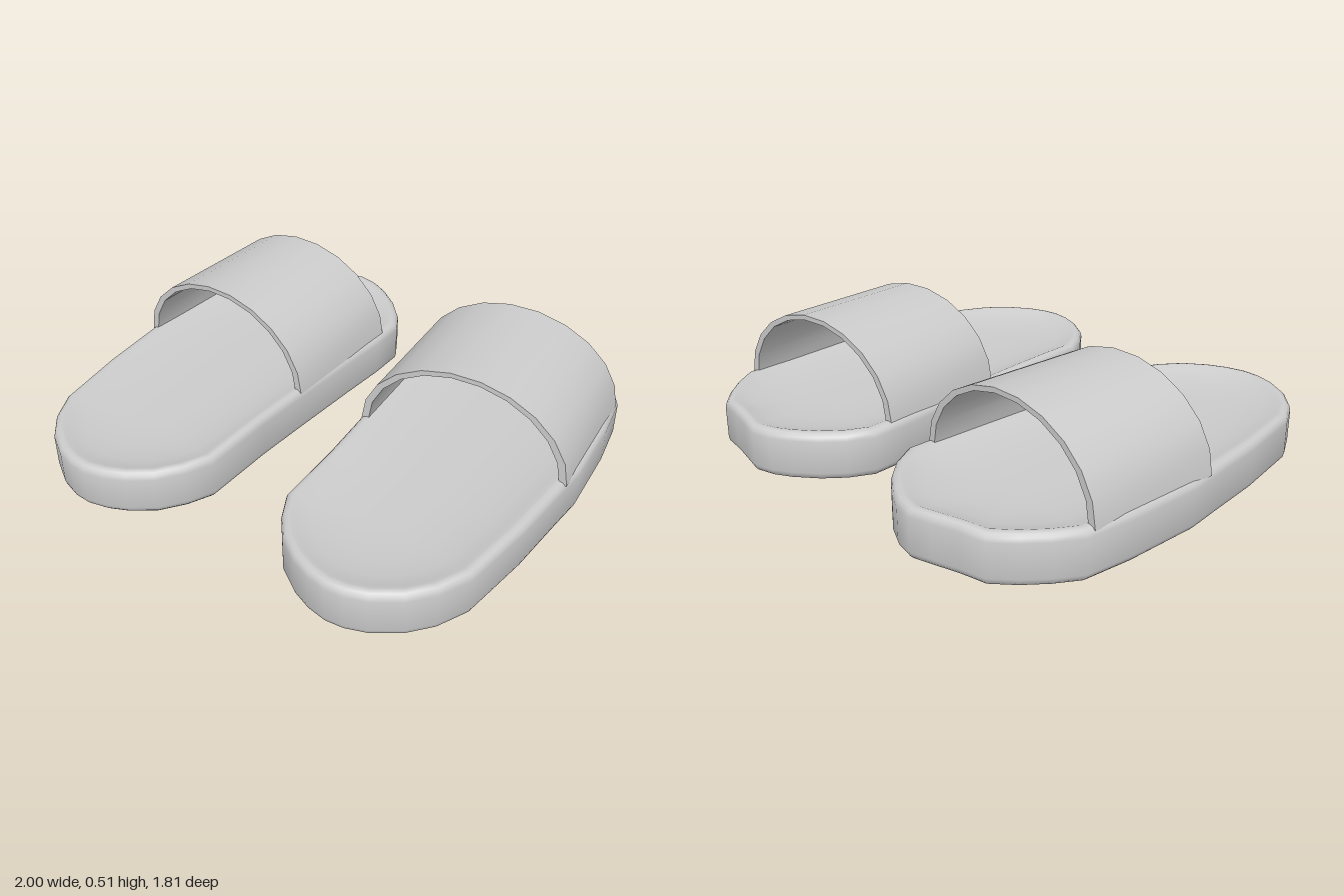
import * as THREE from 'three';
import { toCreasedNormals } from 'three/addons/utils/BufferGeometryUtils.js';

const material = new THREE.MeshStandardMaterial({ color: 0xcccccc });

// Plan outline of the left sole (x, z): heel, outer side, toe, inner side
const OUTLINE = [
  [0.45, -0.903], [0.54, -0.88], [0.64, -0.855], [0.74, -0.838], [0.82, -0.77],
  [0.89, -0.69], [0.95, -0.6], [0.98, -0.4], [1, -0.1], [0.987, 0.05],
  [0.968, 0.3], [0.924, 0.6], [0.865, 0.72], [0.79, 0.805], [0.69, 0.87],
  [0.61, 0.897], [0.54, 0.903], [0.46, 0.887], [0.38, 0.853], [0.29, 0.79],
  [0.22, 0.7], [0.17, 0.6], [0.16, 0.3], [0.145, 0.1], [0.115, -0.25],
  [0.095, -0.45], [0.09, -0.6], [0.14, -0.695], [0.21, -0.775], [0.3, -0.845],
  [0.37, -0.883],
];

// Section of the sole (inset towards the spine, y): underside, rounded wall, dished footbed
const SECTION = [
  [1, 0], [0.12, 0], [0.07, 0], [0.035, 0.004], [0.012, 0.014], [0, 0.03],
  [0, 0.16], [0.012, 0.176], [0.035, 0.186], [0.07, 0.19], [0.1, 0.188],
  [0.15, 0.18], [0.28, 0.167], [0.5, 0.155], [0.75, 0.15], [1, 0.15],
];

function soleGeometry(side) {
  const outline = OUTLINE.map(([x, z]) => [x * side, z]);
  if (side < 0) outline.reverse();
  const n = outline.length, positions = [], index = [];
  SECTION.forEach(([inset, y], r) => outline.forEach(([x, z], i) => {
    const spineZ = THREE.MathUtils.clamp(z, -0.5, 0.5);
    positions.push(
      THREE.MathUtils.lerp(x, 0.54 * side, inset), y,
      THREE.MathUtils.lerp(z, spineZ, inset));
    if (r === 0) return;
    const a = (r - 1) * n + i, b = (r - 1) * n + (i + 1) % n;
    index.push(a, a + n, b, b, a + n, b + n);
  }));
  const geometry = new THREE.BufferGeometry();
  geometry.setAttribute('position', new THREE.Float32BufferAttribute(positions, 3));
  geometry.setIndex(index);
  return toCreasedNormals(geometry, 1.1);
}

// Half-oval band with thickness, extruded along the foot
function strapGeometry() {
  const segments = 11, length = 0.57, base = 0.175;
  const arc = (rx, ry) => Array.from({ length: segments + 1 }, (_, i) => {
    const a = Math.PI * i / segments;
    return new THREE.Vector2(rx * Math.cos(a), base + ry * Math.sin(a));
  });
  const shape = new THREE.Shape([...arc(0.424, 0.338), ...arc(0.394, 0.318).reverse()]);
  const geometry = new THREE.ExtrudeGeometry(shape, { depth: length, bevelEnabled: false });
  geometry.translate(0, 0, -length / 2);
  return toCreasedNormals(geometry, 0.8);
}

function createSandal(name, side) {
  const sandal = new THREE.Group();
  sandal.name = name;

  const sole = new THREE.Mesh(soleGeometry(side), material);
  sole.name = 'sole';

  const strap = new THREE.Mesh(strapGeometry(), material);
  strap.name = 'strap';
  strap.position.set(0.549 * side, 0, -0.253);
  strap.rotation.y = 0.068 * side;

  sandal.add(sole, strap);
  return sandal;
}

export function createModel() {
  const model = new THREE.Group();
  model.name = 'slideSandals';
  model.add(createSandal('leftSandal', 1), createSandal('rightSandal', -1));
  return model;
}
